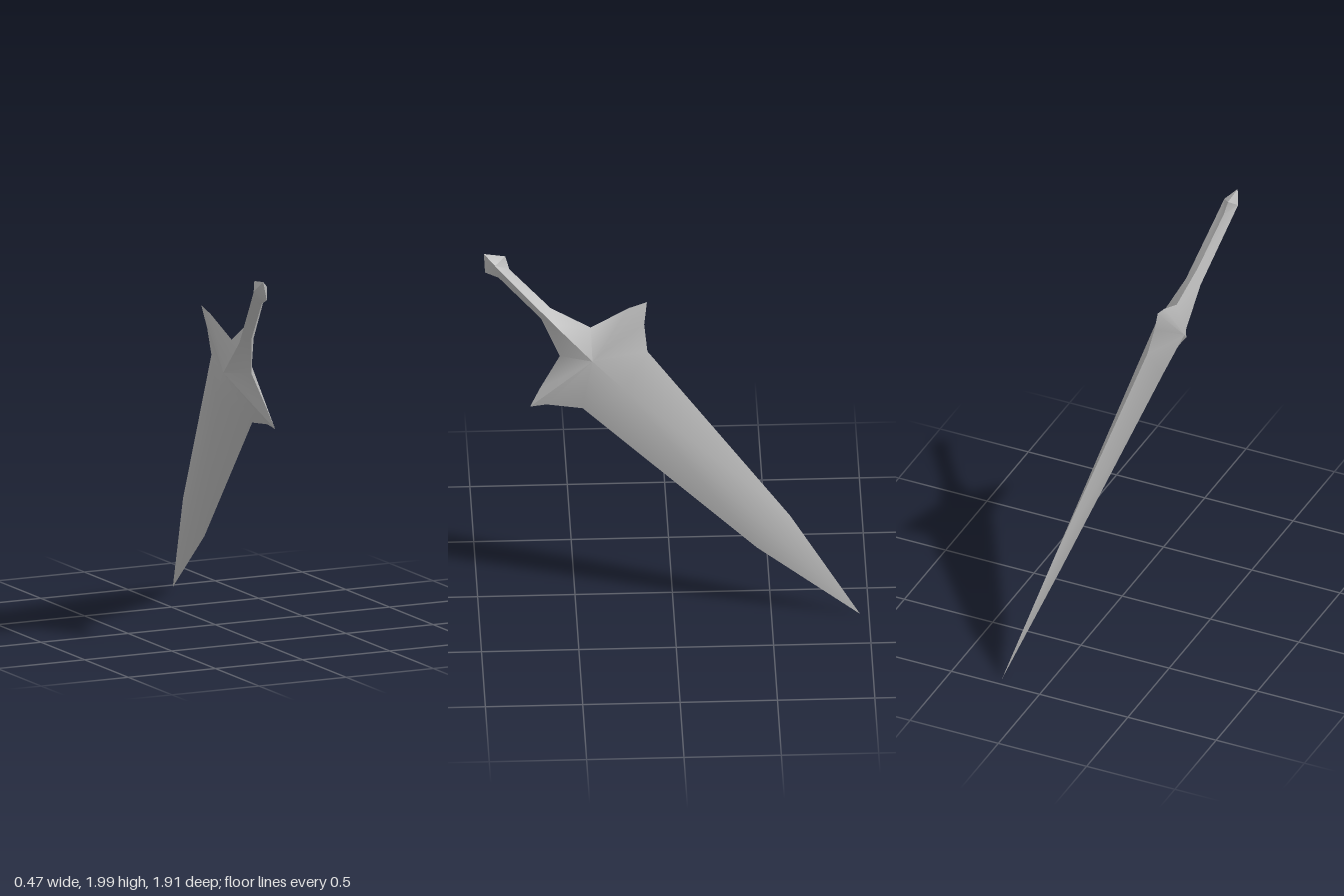
import * as THREE from 'three';
import { toCreasedNormals } from 'three/addons/utils/BufferGeometryUtils.js';

// Sword stations, pommel to point: [upper edge z, y], [lower edge z, y], [ridge z, y, half thickness]
const END = [[0.96, 2.0], [0.96, 2.0], [0.96, 2.0, 0]];
const POMMEL = [[0.85, 1.985], [0.955, 1.9], [0.905, 1.95, 0.04]];
const NECK = [[0.83, 1.915], [0.885, 1.87], [0.86, 1.9, 0.04]];
const GRIP = [[0.62, 1.7], [0.67, 1.645], [0.6, 1.62, 0.042]];
const CENTRE = [0.41, 1.437, 0.081];
const ROOT = [[0.415, 1.59], [0.575, 1.44], CENTRE];
const PRONG_TOP = [[0.22, 1.69], [0.68, 1.265], CENTRE];
const PRONG_TIP = [[0.125, 1.72], [0.73, 1.17], CENTRE];
const PRONG_BASE = [[0.14, 1.6], [0.645, 1.18], CENTRE];
const HEEL = [[0.125, 1.455], [0.46, 1.155], [0.245, 1.275, 0.071]];
const TAPER = [[-0.6, 0.55], [-0.43, 0.38], [-0.515, 0.465, 0.026]];
const POINT = [[-0.955, 0.01], [-0.955, 0.01], [-0.955, 0.01, 0]];

const PARTS = {
  pommel: [END, POMMEL, NECK],
  grip: [NECK, GRIP, ROOT],
  guard: [ROOT, PRONG_TOP, PRONG_TIP, PRONG_BASE, HEEL],
  blade: [HEEL, TAPER, POINT],
};

// Place a point on the leaning sword plane, raised along the plane's normal
function place([z, y, t = 0], side) {
  const h = t * side;
  return new THREE.Vector3(0.237 - 0.221 * y + 0.976 * h, y + 0.216 * h, z);
}

export function createModel() {
  const group = new THREE.Group();
  const steel = new THREE.MeshStandardMaterial({ color: 0xbababa });
  steel.name = 'steel';
  const positions = [];

  // Add a triangle facing outwards, skipping collapsed ones
  function triangle(points, side) {
    const [a, b, c] = points.map((p) => place(p, side));
    const n = b.clone().sub(a).cross(c.clone().sub(a));
    if (n.length() < 1e-7) return;
    const order = n.x * side > 0 ? [a, b, c] : [a, c, b];
    for (const v of order) positions.push(v.x, v.y, v.z);
  }

  // Both flats of each part, each sloping from the ridge to the two edges
  const ranges = [];
  for (const [name, stations] of Object.entries(PARTS)) {
    const start = positions.length;
    for (let i = 0; i + 1 < stations.length; i++) {
      const s = stations[i], e = stations[i + 1];
      for (const side of [1, -1]) {
        for (const edge of [0, 1]) {
          triangle([s[edge], e[edge], s[2]], side);
          triangle([e[edge], e[2], s[2]], side);
        }
      }
    }
    ranges.push([name, start, positions.length]);
  }

  // Shade the whole surface together so the parts join without seams
  const whole = new THREE.BufferGeometry();
  whole.setAttribute('position', new THREE.Float32BufferAttribute(positions, 3));
  const shaded = toCreasedNormals(whole, 0.7);

  // Cut the shaded surface into its named parts
  for (const [name, start, end] of ranges) {
    const geometry = new THREE.BufferGeometry();
    for (const key of ['position', 'normal']) {
      const values = shaded.attributes[key].array.slice(start, end);
      geometry.setAttribute(key, new THREE.BufferAttribute(values, 3));
    }
    const mesh = new THREE.Mesh(geometry, steel);
    mesh.name = name;
    group.add(mesh);
  }
  group.name = 'sword';
  return group;
}
